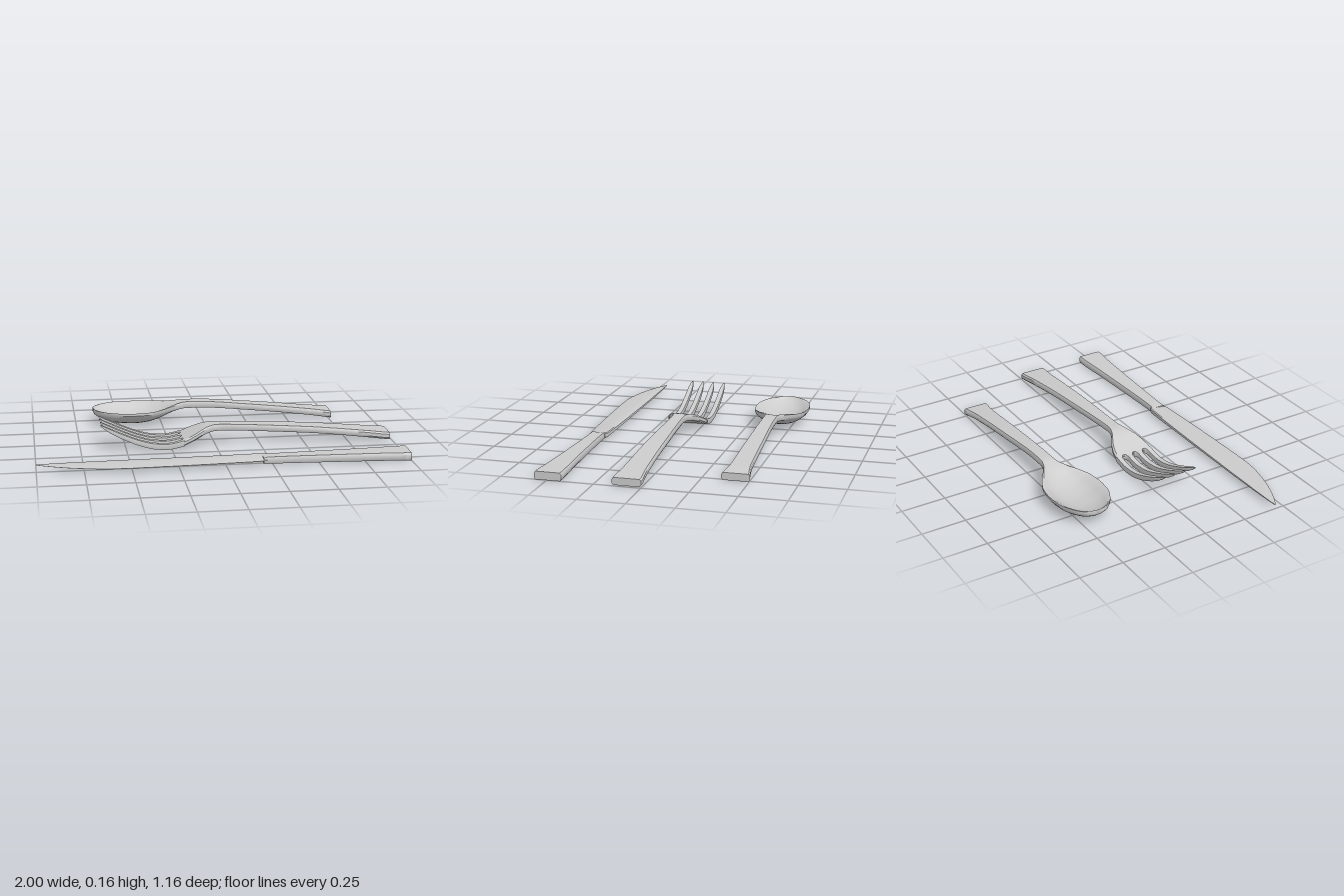
import * as THREE from 'three';
import { toCreasedNormals } from 'three/addons/utils/BufferGeometryUtils.js';

const material = new THREE.MeshStandardMaterial({ color: 0xcccccc });

// Smooth interpolation, without overshoot, through rows of [x, value, value...]
function sample(rows, x) {
  let i = 0;
  while (i < rows.length - 2 && x > rows[i + 1][0]) i++;
  const slope = (k, c) => (rows[k + 1][c] - rows[k][c]) / (rows[k + 1][0] - rows[k][0]);
  const tangent = (k, c) => {
    if (k === 0) return slope(0, c);
    if (k === rows.length - 1) return slope(k - 1, c);
    const a = slope(k - 1, c), b = slope(k, c);
    return a * b <= 0 ? 0 : (2 * a * b) / (a + b);
  };
  const h = rows[i + 1][0] - rows[i][0];
  const t = THREE.MathUtils.clamp((x - rows[i][0]) / h, 0, 1);
  const s = 1 - t;
  return rows[i].slice(1).map((v, k) => {
    const c = k + 1;
    return v * (1 + 2 * t) * s * s + tangent(i, c) * h * t * s * s
      + rows[i + 1][c] * t * t * (3 - 2 * t) - tangent(i + 1, c) * h * t * t * s;
  });
}

// Station positions: every row plus evenly spaced points between rows
function stations(rows, step = 0.02) {
  const xs = [];
  for (let i = 0; i < rows.length - 1; i++) {
    const a = rows[i][0], b = rows[i + 1][0];
    const n = Math.max(2, Math.ceil((b - a) / step));
    for (let k = 0; k < n; k++) xs.push(a + ((b - a) * k) / n);
  }
  xs.push(rows[rows.length - 1][0]);
  return xs;
}

// Skin closed rings of [y, z] along increasing x, with capped ends
function loft(name, xs, ring) {
  const pos = [], idx = [];
  const rings = xs.map(ring);
  const n = rings[0].length;
  rings.forEach((r, i) => r.forEach(([y, z]) => pos.push(xs[i], y, z)));
  for (let i = 0; i < xs.length - 1; i++) {
    for (let j = 0; j < n; j++) {
      const a = i * n + j, b = i * n + ((j + 1) % n);
      idx.push(a, b, a + n, b, b + n, a + n);
    }
  }
  for (const i of [0, xs.length - 1]) {
    // Caps join the upper and lower halves of the ring
    for (let j = 0; j < n / 2 - 1; j++) {
      const a = i * n + j, b = a + 1, c = i * n + n - 1 - j, d = c - 1;
      if (i === 0) idx.push(a, c, b, b, c, d);
      else idx.push(a, b, c, b, d, c);
    }
  }
  const geo = new THREE.BufferGeometry();
  geo.setAttribute('position', new THREE.Float32BufferAttribute(pos, 3));
  geo.setIndex(idx);
  const mesh = new THREE.Mesh(toCreasedNormals(geo, 0.6), material);
  mesh.name = name;
  return mesh;
}

// Bevelled bar section, optionally dished downward in the middle
const ACROSS = [-0.9, -0.75, -0.6, -0.4, -0.2, 0, 0.2, 0.4, 0.6, 0.75, 0.9];
function section(top, thick, half, zc, dish = 0) {
  const side = [[-1, 0.5], ...ACROSS.map(u => [u, 1]), [1, 0.5]];
  const point = ([u, v]) => [
    top - thick / 2 + (v * thick) / 2 - dish * (1 - Math.abs(u) ** 2.4),
    zc + u * half,
  ];
  return [...side.map(point), ...side.map(([u, v]) => point([u, -v])).reverse()];
}

function createSpoon() {
  const group = new THREE.Group();
  group.name = 'spoon';
  // x, top, thickness, half width, dish depth
  const rows = [
    [-0.65, 0.1, 0.022, 0.012, 0], [-0.642, 0.102, 0.026, 0.045, 0.012],
    [-0.62, 0.103, 0.028, 0.08, 0.026], [-0.58, 0.104, 0.03, 0.113, 0.044],
    [-0.5, 0.103, 0.03, 0.147, 0.061], [-0.41, 0.102, 0.03, 0.155, 0.066],
    [-0.33, 0.103, 0.03, 0.147, 0.059], [-0.25, 0.108, 0.031, 0.112, 0.04],
    [-0.2, 0.115, 0.034, 0.08, 0.022], [-0.15, 0.121, 0.037, 0.05, 0.008],
    [-0.1, 0.125, 0.038, 0.038, 0], [-0.03, 0.124, 0.037, 0.038, 0],
    [0.3, 0.097, 0.036, 0.047, 0], [0.64, 0.06, 0.038, 0.057, 0],
    [0.7, 0.053, 0.039, 0.064, 0], [0.765, 0.045, 0.04, 0.075, 0],
  ];
  group.add(loft('spoonBowlAndHandle', stations(rows), x => {
    const [top, t, w, d] = sample(rows, x);
    return section(top, t, w, -0.43, d);
  }));
  return group;
}

function createFork() {
  const group = new THREE.Group();
  group.name = 'fork';
  const zc = 0.078, pitch = 0.065, edge = 0.113;
  // x, top, thickness along the whole fork
  const profile = [
    [-0.64, 0.158, 0.008], [-0.6, 0.138, 0.02], [-0.5, 0.092, 0.028],
    [-0.42, 0.061, 0.03], [-0.35, 0.043, 0.031], [-0.28, 0.037, 0.031],
    [-0.2, 0.05, 0.032], [-0.15, 0.069, 0.033], [-0.1, 0.092, 0.035],
    [-0.05, 0.112, 0.037], [0, 0.12, 0.037], [0.06, 0.118, 0.036],
    [0.5, 0.093, 0.036], [0.99, 0.045, 0.04],
  ];
  // x, half width of the shoulder and handle
  const widths = [
    [-0.185, 0.113], [-0.15, 0.109], [-0.1, 0.092], [-0.05, 0.062],
    [0, 0.042], [0.04, 0.036], [0.1, 0.037], [0.4, 0.05],
    [0.77, 0.063], [0.88, 0.069], [0.97, 0.078], [0.99, 0.077],
  ];
  group.add(loft('forkHandle', stations(widths), x => {
    const [top, t] = sample(profile, x);
    return section(top, t, sample(widths, x)[0], zc);
  }));

  // Four tines, flaring at the root to round the slots
  const tine = [
    [-0.64, 0.003], [-0.6, 0.0125], [-0.55, 0.015], [-0.215, 0.0155],
    [-0.197, 0.019], [-0.188, 0.025], [-0.183, 0.0325],
  ];
  for (let k = 0; k < 4; k++) {
    const offset = (k - 1.5) * pitch;
    group.add(loft('forkTine', stations(tine), x => {
      const [top, t] = sample(profile, x);
      const w = sample(tine, x)[0];
      const z0 = Math.max(offset - w, -edge), z1 = Math.min(offset + w, edge);
      return section(top, t, (z1 - z0) / 2, zc + (z0 + z1) / 2);
    }));
  }
  return group;
}

function createKnife() {
  const group = new THREE.Group();
  group.name = 'knife';
  // x, spine z, edge z, spine thickness
  const blade = [
    [-1, 0.446, 0.45, 0.004], [-0.96, 0.443, 0.474, 0.006],
    [-0.9, 0.441, 0.502, 0.008], [-0.8, 0.439, 0.538, 0.011],
    [-0.7, 0.438, 0.562, 0.013], [-0.62, 0.437, 0.575, 0.014],
    [-0.55, 0.437, 0.578, 0.015], [-0.3, 0.437, 0.572, 0.018],
    [0, 0.438, 0.559, 0.023], [0.19, 0.44, 0.547, 0.028],
    [0.22, 0.452, 0.534, 0.028],
  ];
  group.add(loft('knifeBlade', stations(blade, 0.03), x => {
    const [z0, z1, t] = sample(blade, x);
    const half = [[0, 0.35], [0.05, 0.5], [0.4, 0.45], [0.75, 0.25], [1, 0.05]];
    const point = s => ([u, v]) => [0.027 + s * v * t, z0 + u * (z1 - z0)];
    return [...half.map(point(1)), ...half.map(point(-1)).reverse()];
  }));

  // x, back z, front z, thickness
  const handle = [
    [0.2, 0.449, 0.538, 0.03], [0.22, 0.455, 0.531, 0.036],
    [0.3, 0.454, 0.532, 0.038], [0.5, 0.446, 0.54, 0.04],
    [0.75, 0.434, 0.552, 0.042], [0.9, 0.424, 0.562, 0.043],
    [0.97, 0.42, 0.57, 0.044], [1, 0.422, 0.568, 0.044],
  ];
  group.add(loft('knifeHandle', stations(handle, 0.05), x => {
    const [z0, z1, t] = sample(handle, x);
    return section(0.025 + t / 2, t, (z1 - z0) / 2, (z0 + z1) / 2);
  }));
  return group;
}

export function createModel() {
  const group = new THREE.Group();
  group.name = 'cutlerySet';
  group.add(createSpoon(), createFork(), createKnife());
  return group;
}
